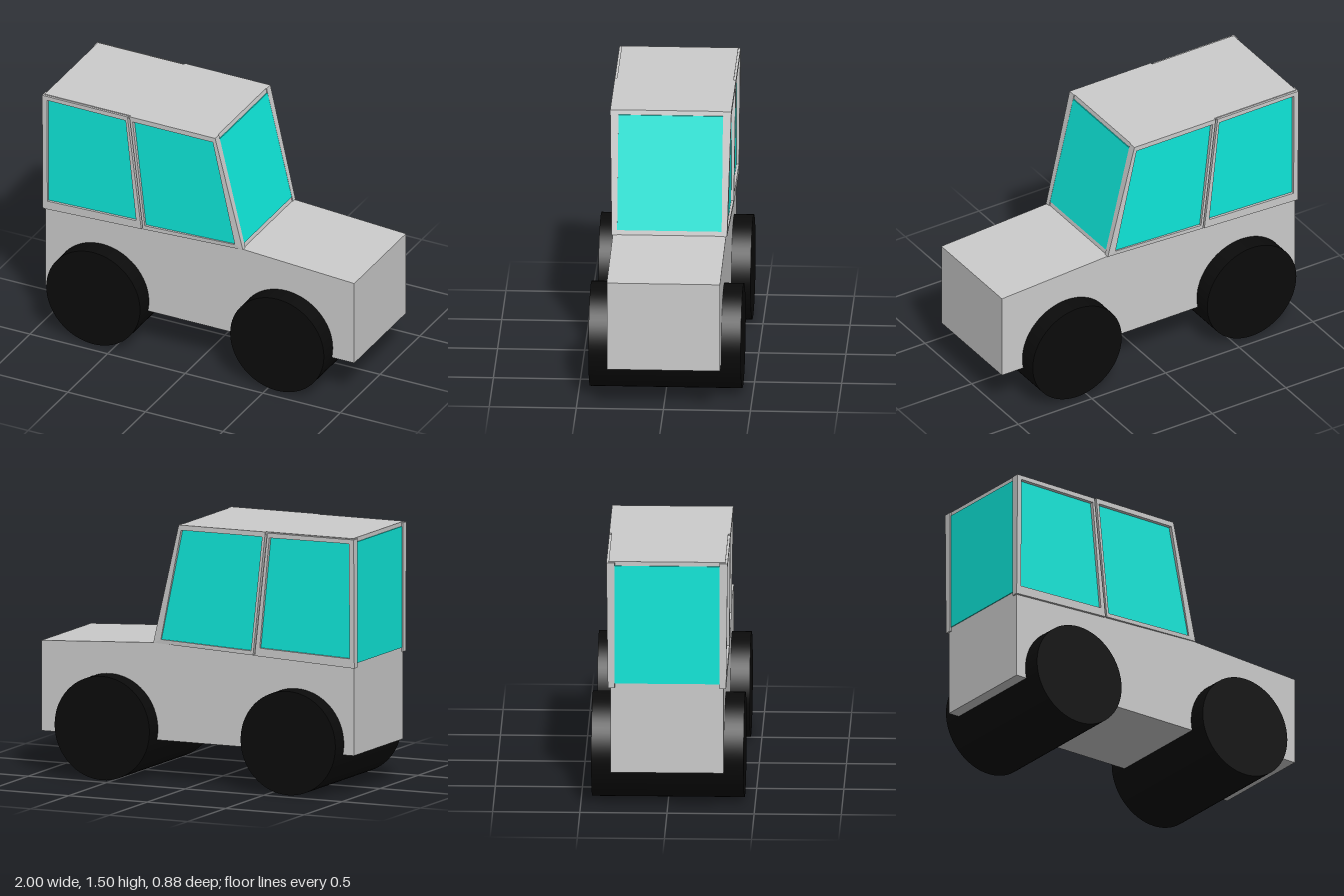
import * as THREE from 'three';

const grey = new THREE.MeshStandardMaterial({ color: 0xcccccc, flatShading: true });
const teal = new THREE.MeshStandardMaterial({ color: 0x0ee8da, flatShading: true });
const black = new THREE.MeshStandardMaterial({ color: 0x0b0b0b });

const toVectors = (points) => points.map(([x, y]) => new THREE.Vector2(x, y));

// Extrudes an outline (with an optional hole) from z0 to z1
function slab(points, z0, z1, hole) {
  const shape = new THREE.Shape(toVectors(points));
  if (hole) shape.holes.push(new THREE.Path(toVectors(hole)));
  const geometry = new THREE.ExtrudeGeometry(shape, { depth: z1 - z0, bevelEnabled: false });
  return geometry.translate(0, 0, z0);
}

export function createModel() {
  const model = new THREE.Group();
  const add = (name, geometry, material) => {
    const mesh = new THREE.Mesh(geometry, material);
    mesh.name = name;
    model.add(mesh);
    return mesh;
  };

  // Lower body with a gently sloping bonnet
  add('body', slab([[-0.99, 0.24], [1, 0.24], [1, 0.765], [0.28, 0.805], [-0.99, 0.765]], -0.325, 0.325), grey);

  // Cabin, its roof running out over the side frames
  add('cabin', slab([[-0.99, 0.76], [0.28, 0.8], [0.11, 1.5], [-0.99, 1.5]], -0.32, 0.32), grey);
  add('roof', slab([[-0.99, 1.485], [0.115, 1.485], [0.11, 1.505], [-0.99, 1.505]], -0.335, 0.335), grey);

  // Side windows: a raised frame around each recessed pane
  const windows = [
    {
      name: 'rearSide',
      outer: [[-1, 0.75], [-0.365, 0.778], [-0.45, 1.5], [-1, 1.5]],
      inner: [[-0.97, 0.805], [-0.398, 0.825], [-0.462, 1.472], [-0.97, 1.475]],
    },
    {
      name: 'frontSide',
      outer: [[-0.355, 0.78], [0.285, 0.805], [0.115, 1.505], [-0.437, 1.505]],
      inner: [[-0.342, 0.805], [0.235, 0.828], [0.1, 1.475], [-0.417, 1.475]],
    },
  ];
  for (const side of [1, -1]) {
    for (const { name, outer, inner } of windows) {
      const frame = side > 0 ? slab(outer, 0.3, 0.348, inner) : slab(outer, -0.348, -0.3, inner);
      // Outer faces lean in towards the sill and the foot of the windscreen
      const p = frame.attributes.position;
      for (let i = 0; i < p.count; i++) {
        if (Math.abs(p.getZ(i)) < 0.34) continue;
        const lean = 0.008 * (1.5 - p.getY(i)) / 0.7 + 0.05 * Math.max(0, p.getX(i) - 0.11);
        p.setZ(i, side * (0.348 - lean));
      }
      frame.computeVertexNormals();
      add(name + 'Frame', frame, grey);
      add(name + 'Glass', side > 0 ? slab(inner, 0.31, 0.325) : slab(inner, -0.325, -0.31), teal);
    }
  }

  // Windscreen and rear window
  add('windscreen', slab([[0.25, 0.832], [0.277, 0.832], [0.121, 1.478], [0.09, 1.478]], -0.315, 0.315), teal);
  add('rearWindow', slab([[-0.995, 0.775], [-0.97, 0.775], [-0.97, 1.48], [-0.995, 1.48]], -0.325, 0.325), teal);

  // Wheels: full-width rollers
  for (const [name, x] of [['rearWheels', -0.625], ['frontWheels', 0.56]]) {
    const roller = new THREE.CylinderGeometry(0.302, 0.302, 0.875, 64).rotateX(Math.PI / 2);
    add(name, roller, black).position.set(x, 0.303, 0);
  }

  return model;
}
